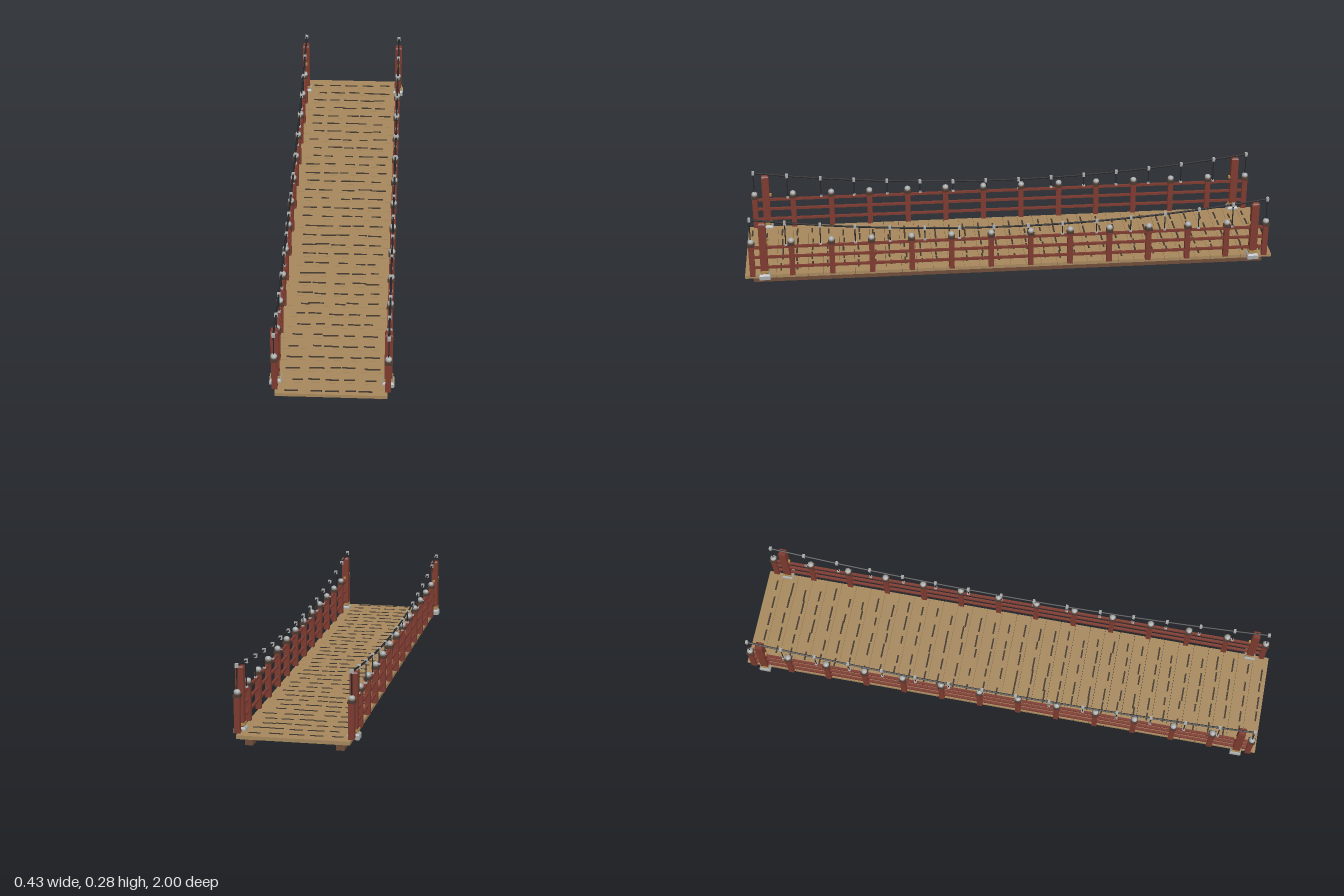
import * as THREE from 'three';

const mat = (name, color) => {
  const m = new THREE.MeshStandardMaterial({ color });
  m.name = name;
  return m;
};

export function createModel() {
  const root = new THREE.Group();
  root.name = 'footbridge';
  const wood = mat('plank wood', 0xa5875c);
  const grainDark = mat('dark grain', 0x40362d);
  const beamBrown = mat('beam brown', 0x6e4c38);
  const red = mat('red timber', 0x7c3a2f);
  const collarBrown = mat('collar brown', 0x4c382d);
  const stone = mat('grey stone', 0xa6a9a8);
  const rope = mat('dark cable', 0x26272a);
  const brass = mat('brass', 0xa98a4c);

  const add = (parent, name, geo, material, x, y, z) => {
    const m = new THREE.Mesh(geo, material);
    m.name = name;
    m.position.set(x, y, z);
    parent.add(m);
    return m;
  };
  const box = (parent, name, material, w, h, d, x, y, z) =>
    add(parent, name, new THREE.BoxGeometry(w, h, d), material, x, y, z);
  // Square-section turned shape from [half width, height] pairs
  const squareLathe = (profile) => {
    const pts = profile.map(([r, y]) => new THREE.Vector2(r * Math.SQRT2, y));
    const g = new THREE.LatheGeometry(pts, 4, Math.PI / 4).toNonIndexed();
    g.computeVertexNormals();
    return g;
  };
  let seed = 7;
  const rand = () => (seed = (seed * 16807) % 2147483647) / 2147483647;

  // Deck planks, each with a broken row of raised dark grain
  const deck = new THREE.Group();
  deck.name = 'deck';
  root.add(deck);
  const planks = 34, pitch = 2 / planks;
  for (let i = 0; i < planks; i++) {
    const z = -1 + pitch * (i + 0.5);
    box(deck, 'plank', wood, 0.39, 0.013, pitch - 0.001, 0, 0.0355, z);
    for (let k = 0; k < 5; k++) {
      const x = -0.13 + k * 0.065 + (rand() - 0.5) * 0.03;
      const dz = 0.012 + (rand() - 0.5) * 0.008;
      box(deck, 'grain', grainDark, 0.03 + rand() * 0.03, 0.002, 0.006, x, 0.0428, z + dz);
    }
  }

  // Bearers under the deck
  for (const s of [-1, 1]) box(root, 'bearer', beamBrown, 0.028, 0.03, 1.94, s * 0.157, 0.015, 0);

  const tallPost = squareLathe([[0, 0.042], [0.014, 0.042], [0.014, 0.26], [0.011, 0.266], [0, 0.266]]);
  const footing = squareLathe([[0, 0.032], [0.021, 0.032], [0.021, 0.047], [0.016, 0.054], [0, 0.054]]);
  const cap = new THREE.SphereGeometry(0.012, 10, 8);
  cap.scale(1, 0.85, 1);
  const cableY = (z) => 0.206 + 0.071 * (z / 0.97) ** 2;

  for (const s of [-1, 1]) {
    const side = new THREE.Group();
    side.name = s > 0 ? 'leftRailing' : 'rightRailing';
    side.position.x = s * 0.196;
    root.add(side);

    // Short posts with collar and domed cap
    for (let i = 0; i < 14; i++) {
      const z = -0.97 + (i * 1.94) / 13;
      box(side, 'railPost', red, 0.02, 0.126, 0.02, 0, 0.105, z);
      box(side, 'postCollar', collarBrown, 0.026, 0.009, 0.026, 0, 0.172, z);
      add(side, 'postCap', cap, stone, 0, 0.185, z);
    }

    // Horizontal rails
    for (const y of [0.076, 0.119, 0.16])
      box(side, 'rail', red, 0.009, 0.009, 1.94, 0, y, 0);

    // Tall end posts on stone footings
    for (const e of [-1, 1]) {
      const z = e * 0.925;
      add(side, 'tallPost', tallPost, red, 0, 0, z);
      add(side, 'footing', footing, stone, 0, 0, z);
      box(side, 'postBand', brass, 0.033, 0.01, 0.033, 0, 0.062, z);
      box(side, 'postStud', brass, 0.01, 0.01, 0.008, 0, 0.18, z - e * 0.017);
    }

    // Sagging cable
    const pts = [];
    for (let i = 0; i <= 12; i++) {
      const z = -0.97 + (i * 1.94) / 12;
      pts.push(new THREE.Vector3(0, cableY(z), z));
    }
    const curve = new THREE.CatmullRomCurve3(pts);
    add(side, 'cable', new THREE.TubeGeometry(curve, 48, 0.0035, 6), rope, 0, 0, 0);

    // Hangers with clips, down to the top rail
    for (let i = 0; i < 16; i++) {
      const z = -0.97 + (i * 1.94) / 15;
      const top = cableY(z), h = top - 0.162;
      add(side, 'hanger', new THREE.CylinderGeometry(0.002, 0.002, h, 6), rope, 0, 0.162 + h / 2, z);
      box(side, 'clip', stone, 0.012, 0.014, 0.01, 0, top, z);
      box(side, 'hangerFoot', stone, 0.01, 0.006, 0.01, 0, 0.167, z);
    }
  }
  return root;
}
